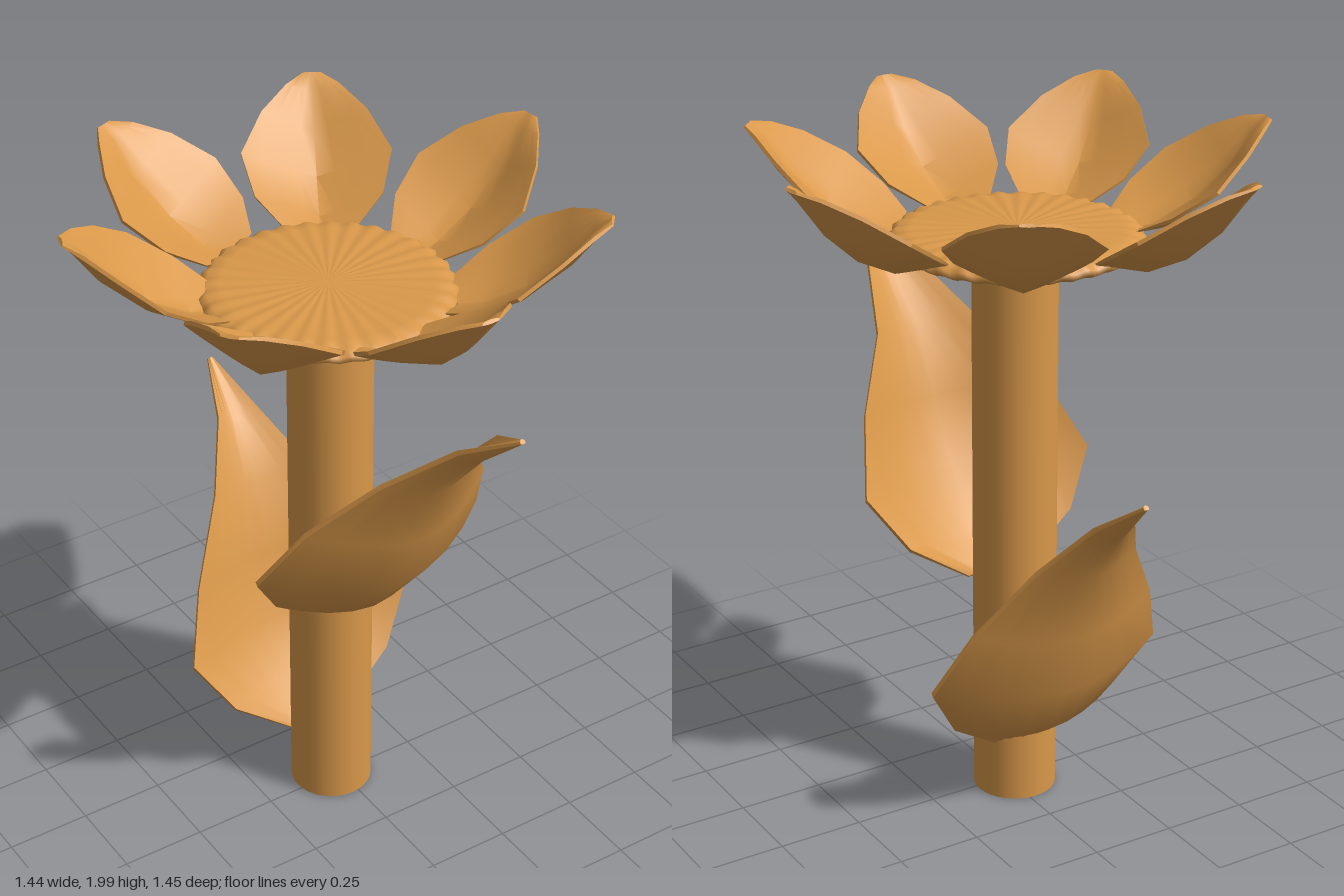
import * as THREE from 'three';
import { toCreasedNormals } from 'three/addons/utils/BufferGeometryUtils.js';

const material = new THREE.MeshStandardMaterial({ color: 0xd9984a, side: THREE.DoubleSide });

// Cupped blade with a thick rim, lofted along +z.
// Station: [keel z, keel y, rim z, rim y, half width, sideways shift]
function bladeGeometry(stations, thickness, power) {
  const n = 8; // strips across the blade
  const ring = 2 * (n + 1);
  const pos = [], index = [];
  stations.forEach(([kz, ky, rz, ry, w, cx], i) => {
    const taper = i === 0 || i === stations.length - 1 ? 0.5 : 1;
    for (let j = 0; j < ring; j++) {
      const top = j <= n;
      const u = top ? -1 + (2 * j) / n : 1 - (2 * (j - n - 1)) / n;
      const lift = Math.pow(Math.abs(u), power);
      const t = top ? thickness * taper * (1 - 0.5 * u * u) : 0;
      pos.push(cx + u * w, ky + (ry - ky) * lift + 0.75 * t, kz + (rz - kz) * lift - 0.65 * t);
    }
  });
  for (let i = 0; i < stations.length - 1; i++) {
    for (let j = 0; j < ring; j++) {
      const a = i * ring + j, b = i * ring + ((j + 1) % ring);
      index.push(a, a + ring, b + ring, a, b + ring, b);
    }
  }
  // End caps, in strips between top and underside
  const last = (stations.length - 1) * ring;
  for (let j = 0; j < n; j++) {
    const a = j, b = j + 1, c = ring - 2 - j, d = ring - 1 - j;
    index.push(a, b, c, a, c, d, last + a, last + c, last + b, last + a, last + d, last + c);
  }
  const g = new THREE.BufferGeometry();
  g.setAttribute('position', new THREE.Float32BufferAttribute(pos, 3));
  g.setIndex(index);
  return toCreasedNormals(g, 0.65);
}

function part(name, geometry, parent) {
  const mesh = new THREE.Mesh(geometry, material);
  mesh.name = name;
  parent.add(mesh);
  return mesh;
}

export function createModel() {
  const model = new THREE.Group();
  model.name = 'flower';

  // Stem
  const stem = part('stem', new THREE.CylinderGeometry(0.121, 0.121, 1.7, 32), model);
  stem.position.set(-0.02, 0.85, -0.02);

  // Flower head
  const head = new THREE.Group();
  head.name = 'flowerHead';
  head.position.set(-0.02, 0, -0.03);
  model.add(head);

  // Disc with a softly rippled edge
  const profile = [[0, 1.69], [0.3, 1.69], [0.33, 1.688], [0.352, 1.7], [0.35, 1.715], [0.33, 1.73], [0.29, 1.736], [0, 1.738]];
  const disc = new THREE.LatheGeometry(profile.map(([r, y]) => new THREE.Vector2(r, y)), 160);
  const p = disc.attributes.position;
  for (let i = 0; i < p.count; i++) {
    const x = p.getX(i), y = p.getY(i), z = p.getZ(i);
    const wave = Math.cos(32 * Math.atan2(x, z)) * Math.pow(Math.hypot(x, z) / 0.35, 4);
    p.setXYZ(i, x * (1 + 0.008 * wave), y + 0.004 * wave, z * (1 + 0.008 * wave));
  }
  disc.computeVertexNormals();
  part('flowerCentre', disc, head);

  // Ring of seven slightly uneven petals: [angle in degrees, outward shift]
  const petal = bladeGeometry([
    [0.32, 1.69, 0.315, 1.725, 0.105, 0],
    [0.41, 1.695, 0.40, 1.775, 0.18, 0],
    [0.53, 1.755, 0.515, 1.85, 0.213, 0],
    [0.635, 1.85, 0.62, 1.925, 0.15, 0],
    [0.70, 1.94, 0.695, 1.97, 0.075, 0],
    [0.735, 1.985, 0.735, 1.987, 0.025, 0],
  ], 0.022, 1.15);
  const places = [[0, 0], [48, 0.02], [97, 0.005], [150.5, 0], [203, 0.015], [254.5, -0.01], [307.5, -0.012]];
  places.forEach(([degrees, shift], i) => {
    const angle = THREE.MathUtils.degToRad(degrees);
    const mesh = part('petal' + (i + 1), petal, head);
    mesh.rotation.y = angle;
    mesh.position.set(shift * Math.sin(angle), 0, shift * Math.cos(angle));
  });

  // Upper leaf, at the front
  part('frontLeaf', bladeGeometry([
    [0.05, 0.675, 0.04, 0.675, 0.10, 0],
    [0.16, 0.74, 0.065, 0.79, 0.27, 0.01],
    [0.29, 0.90, 0.13, 0.945, 0.372, 0.012],
    [0.37, 1.10, 0.245, 1.15, 0.295, 0.025],
    [0.44, 1.30, 0.38, 1.33, 0.16, 0.04],
    [0.57, 1.46, 0.56, 1.50, 0.065, 0.065],
    [0.72, 1.595, 0.72, 1.597, 0.008, 0.085],
  ], 0.028, 1.8), model);

  // Lower leaf, at the back
  part('backLeaf', bladeGeometry([
    [0.09, 0.175, 0.08, 0.175, 0.10, 0.023],
    [0.20, 0.25, 0.125, 0.29, 0.27, 0.023],
    [0.30, 0.42, 0.185, 0.455, 0.375, 0.023],
    [0.36, 0.62, 0.275, 0.655, 0.295, 0.025],
    [0.43, 0.84, 0.395, 0.87, 0.16, 0.025],
    [0.54, 0.99, 0.53, 1.03, 0.065, 0.022],
    [0.68, 1.14, 0.68, 1.142, 0.008, 0.02],
  ], 0.028, 1.8), model).rotation.y = Math.PI;

  return model;
}
